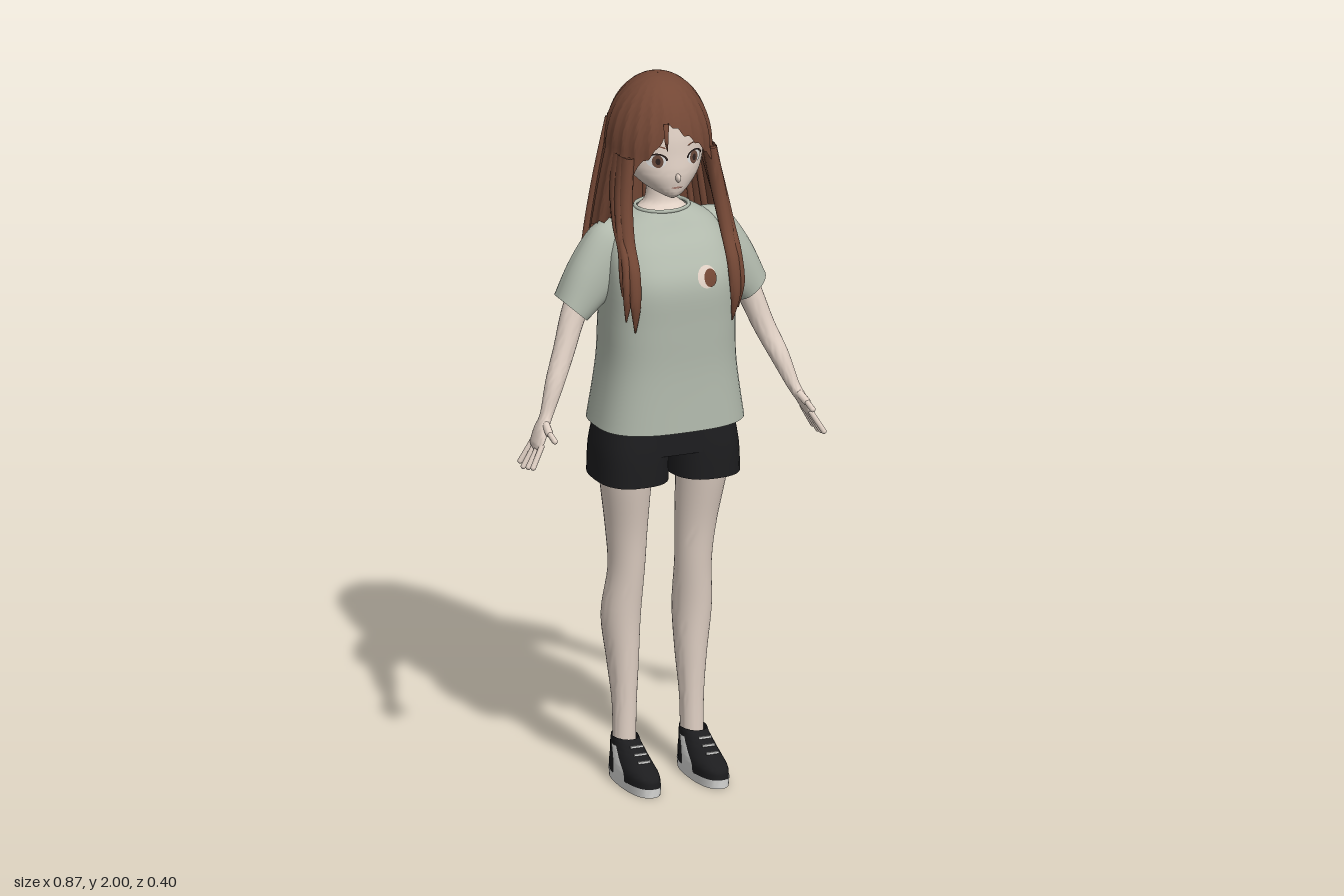
import * as THREE from 'three';
import { toCreasedNormals } from 'three/addons/utils/BufferGeometryUtils.js';

const paint = (name, color) => {
  const m = new THREE.MeshStandardMaterial({ color, side: THREE.DoubleSide });
  m.name = name;
  return m;
};

// Surface from a rule fn(u, v) -> [x, y, z]
function grid(nu, nv, fn) {
  const pos = [], idx = [];
  for (let j = 0; j <= nv; j++) for (let i = 0; i <= nu; i++) pos.push(...fn(i / nu, j / nv));
  for (let j = 0; j < nv; j++) for (let i = 0; i < nu; i++) {
    const p = j * (nu + 1) + i, q = p + nu + 1;
    idx.push(p, q, p + 1, p + 1, q, q + 1);
  }
  const g = new THREE.BufferGeometry();
  g.setAttribute('position', new THREE.Float32BufferAttribute(pos, 3));
  g.setIndex(idx);
  return toCreasedNormals(g, 1);
}

// Cross-sections are [x, y, z, half width, half depth, tilt, roundness], bottom to top
const full = (rows) => rows.map(r => [...r, ...[0, 2].slice(Math.max(0, r.length - 5))]);
function refine(rows, steps) {
  const R = full(rows), out = [], at = i => R[Math.min(R.length - 1, Math.max(0, i))];
  for (let i = 0; i < R.length - 1; i++) for (let s = 0; s < steps; s++) {
    const t = s / steps;
    out.push(R[i].map((b, k) => {
      const a = at(i - 1)[k], c = at(i + 1)[k], d = at(i + 2)[k];
      return b + 0.5 * t * (c - a + t * (2 * a - 5 * b + 4 * c - d + t * (3 * (b - c) + d - a)));
    }));
  }
  out.push(R[R.length - 1]);
  return out;
}
const power = (v, n) => Math.sign(v) * Math.abs(v) ** (2 / n);
function loft(rows, { seg = 32, steps = 5, from = 0, to = Math.PI * 2, grow = 1 } = {}) {
  const R = refine(rows, steps);
  return grid(seg, R.length - 1, (u, v) => {
    const [x, y, z, w, d, tilt, n] = R[Math.round(v * (R.length - 1))];
    const a = from + (to - from) * u, c = w * grow * power(Math.cos(a), n);
    return [x + c * Math.cos(tilt), y + c * Math.sin(tilt), z + d * grow * power(Math.sin(a), n)];
  });
}
// Front depth of a lofted body at x, y
function frontZ(rows, x, y) {
  const R = refine(rows, 8);
  let i = R.findIndex(r => r[1] > y);
  i = i < 1 ? R.length - 1 : i;
  const k = (y - R[i - 1][1]) / (R[i][1] - R[i - 1][1]);
  const [, , z, w, d, , n] = R[i].map((b, j) => R[i - 1][j] + (b - R[i - 1][j]) * k);
  return z + d * Math.max(0, 1 - Math.abs(x / w) ** n) ** (1 / n);
}
const flip = (rows, s) => full(rows).map(r => [r[0] * s, r[1], r[2], r[3], r[4], r[5] * s, r[6]]);

const TORSO = [[0, 1.035, .04, .21, .16, 0, 2.8], [0, 1.2, .045, .186, .15, 0, 2.8], [0, 1.33, .049, .181, .149, 0, 2.8],
  [0, 1.45, .055, .176, .143, 0, 2.8], [0, 1.53, .037, .168, .123, 0, 2.6], [0, 1.585, .02, .146, .098, 0, 2.4],
  [0, 1.615, .017, .108, .08, 0, 2.2], [0, 1.632, .018, .074, .066]];
const HEAD = [[0, 1.673, .09, .004, .006], [0, 1.687, .064, .034, .052], [0, 1.712, .04, .07, .084], [0, 1.75, .02, .101, .109],
  [0, 1.8, 0, .118, .125], [0, 1.86, -.01, .122, .13], [0, 1.92, -.01, .104, .113], [0, 1.965, -.01, .05, .055]];
const SHOE = [[.1, .022, .068, .046, .13, 0, 2.4], [.1, .05, .064, .046, .128, 0, 2.3], [.1, .075, .037, .042, .102],
  [.1, .1, .01, .037, .073], [.1, .12, -.002, .035, .05]];

// Hair length by angle: 0 is the front, +-PI the back
const HAIR_END = [[-3.15, 1.29], [-2, 1.32], [-1.85, 1.56], [-1.1, 1.62], [-.8, 1.77], [-.45, 1.82], [-.17, 1.89],
  [.4, 1.83], [.9, 1.76], [1.1, 1.62], [1.85, 1.56], [2, 1.32], [3.15, 1.29]];
function hairEnd(a) {
  const i = HAIR_END.findIndex(p => p[0] > a), [a0, y0] = HAIR_END[i - 1], [a1, y1] = HAIR_END[i];
  const tooth = Math.abs(((a * 4.2) % 1 + 1) % 1 - .5) * 2;
  return y0 + (y1 - y0) * (a - a0) / (a1 - a0) + (Math.abs(a) > 1.95 ? .055 : .012) * tooth;
}
function hairPoint(a, s, lift = 1) {
  const y = s < Math.PI / 2 ? 1.8 + .2 * Math.cos(s) : 1.8 - .2 * (s - Math.PI / 2);
  const low = Math.max(0, (1.8 - y) / .5), dome = Math.max(.01, Math.sin(Math.min(s, Math.PI / 2)));
  const groove = (1 - .03 * Math.abs(Math.sin(a * 11)) * Math.min(1, s)) * lift;
  const rx = .146 + .085 * low * (1.35 - .45 * low), rz = Math.cos(a) > 0 ? .158 : .162 + .024 * low;
  return [rx * dome * groove * Math.sin(a), y, -.01 + rz * dome * groove * Math.cos(a)];
}

export function createModel() {
  const model = new THREE.Group();
  model.name = 'girl';
  const skin = paint('skin', 0xe2d2c6), hair = paint('hair brown', 0x734735), shirt = paint('shirt sage', 0xb2baad),
    black = paint('shorts black', 0x1d1d1f), white = paint('white trim', 0xdcdcda), dark = paint('dark line', 0x2e2220),
    iris = paint('eye brown', 0x6a4a3c), lip = paint('lip', 0xb08478);
  const add = (name, geo, mat) => {
    const m = new THREE.Mesh(geo, mat);
    m.name = name;
    model.add(m);
    return m;
  };
  // Thin plate that hugs the front of a body
  const decal = (name, mat, body, x, y, w, h, off, a0 = 0, a1 = Math.PI * 2, inner = .01) => {
    const g = new THREE.RingGeometry(inner, 1, 24, 3, a0, a1 - a0), p = g.attributes.position;
    for (let i = 0; i < p.count; i++) {
      const px = x + p.getX(i) * w, py = y + p.getY(i) * h;
      p.setXYZ(i, px, py, frontZ(body, px, py) + off);
    }
    g.computeVertexNormals();
    add(name, g, mat);
  };
  // Rounded finger from one point to another
  const rod = (name, a, b, r) => {
    const A = new THREE.Vector3(...a), B = new THREE.Vector3(...b), d = B.clone().sub(A);
    const m = add(name, new THREE.CapsuleGeometry(r, d.length(), 4, 10), skin);
    m.position.copy(A).add(B).multiplyScalar(.5);
    m.quaternion.setFromUnitVectors(new THREE.Vector3(0, 1, 0), d.normalize());
  };

  // Head, neck and face
  add('head', loft(HEAD, { seg: 48 }), skin);
  add('neck', loft([[0, 1.595, .015, .095, .075], [0, 1.625, .012, .07, .056], [0, 1.655, .008, .042, .042], [0, 1.73, .008, .039, .042]]), skin);
  const nose = add('nose', new THREE.SphereGeometry(1, 12, 8), skin);
  nose.scale.set(.007, .012, .014);
  nose.position.set(0, 1.742, .132);
  decal('mouth', lip, HEAD, 0, 1.713, .016, .003, .003);
  for (const s of [-1, 1]) {
    decal('eyeWhite', white, HEAD, s * .055, 1.79, .024, .018, .002);
    decal('iris', iris, HEAD, s * .053, 1.791, .014, .018, .004);
    decal('pupil', dark, HEAD, s * .053, 1.791, .006, .009, .006);
    decal('eyelash', dark, HEAD, s * .055, 1.792, .028, .022, .006, .1, Math.PI - .1, .8);
    decal('eyebrow', hair, HEAD, s * .055, 1.822, .028, .012, .003, .5, Math.PI - .5, .75);
  }

  // Long hair with fringe
  add('hair', grid(240, 44, (u, v) => {
    const a = (u * 2 - 1) * Math.PI, e = hairEnd(a);
    return hairPoint(a, v * (e > 1.8 ? Math.acos((e - 1.8) / .2) : Math.PI / 2 + (1.8 - e) / .2));
  }), hair);
  // Loose locks laid over the back
  for (const [a, w] of [[2.0, .015], [2.25, .012], [2.6, .014], [2.95, .011], [-2.8, .013], [-2.45, .014], [-2.15, .012], [-1.98, .015]]) {
    const rows = [[3.95, .002], [3.6, .8], [2.8, 1], [2, .9], [1.2, .4]].map(([s, k]) => [...hairPoint(a, s, 1), w * k, w * k * .6]);
    add('backLock', loft(rows, { seg: 10 }), hair);
  }
  // Swept fringe strand at the parting
  add('fringeStrand', loft([[-.034, 1.825, .139, .001, .001], [-.04, 1.86, .146, .006, .004], [-.033, 1.9, .128, .008, .006]], { seg: 8 }), hair);

  // Shirt body and collar
  add('shirt', loft(TORSO, { seg: 48 }), shirt);
  const collar = add('collar', new THREE.TorusGeometry(1, .07, 8, 40), shirt);
  collar.rotation.x = Math.PI / 2;
  collar.scale.set(.074, .066, .08);
  collar.position.set(0, 1.632, .018);
  decal('chestPatch', skin, TORSO, .06, 1.47, .028, .03, .003);
  decal('chestSpot', hair, TORSO, .069, 1.467, .019, .024, .006);

  // Shorts
  add('shortsTop', loft([[0, .955, .027, .198, .125, 0, 2.7], [0, 1.1, .027, .18, .12, 0, 2.7]], { seg: 40 }), black);

  for (const s of [-1, 1]) {
    const side = s > 0 ? 'left' : 'right';
    const part = (name, rows, mat, opt) => add(side + name, loft(flip(rows, s), opt), mat);
    const dz = s > 0 ? .012 : -.012; // the two hands hang slightly differently

    // Hair locks falling in front of the shoulder
    for (const [dx, dy, back, k] of [[-.008, 0, 0, 1], [.014, .03, .012, .9], [.012, .09, .04, 1]])
      part('FrontLock', [[.15, 1.33, .172, .002, .003], [.153, 1.41, .185, .015, .011], [.15, 1.5, .17, .018, .014],
        [.148, 1.58, .125, .019, .018], [.139, 1.68, .087, .02, .026], [.122, 1.8, .06, .018, .036]]
        .map(([x, y, z, w, d], i) => [x + dx * (1 - i / 6), y + dy * (1 - i / 5), z - back, w * k, d * k]), hair, { seg: 12 });

    part('Sleeve', [[.262, 1.365, .005, .053, .062, .74, 2.2], [.2, 1.45, .005, .076, .065, .8, 2.2],
      [.13, 1.525, .005, .088, .062, .9], [.07, 1.55, .005, .06, .05, 1.1]], shirt);
    part('Arm', [[.4, 1.003, .09 + dz, .003, .012, .45], [.394, 1.014, .09 + dz, .01, .036, .45], [.377, 1.05, .083 + dz, .014, .036, .45],
      [.357, 1.088, .073 + dz, .017, .021, .42], [.327, 1.17, .053 + dz / 2, .026, .027, .45], [.294, 1.25, .03, .03, .031, .5],
      [.252, 1.36, .01, .036, .037, .6], [.2, 1.45, .005, .04, .04, .7]], skin, { seg: 24 });
    [.058, .08, .101, .121].forEach((z, i) => rod(side + 'Finger', [s * .39, 1.018, z + dz],
      [s * (.427 - Math.abs(i - 1) * .003), .953 + Math.abs(i - 1) * .006, z + dz + (i - 1) * .007], .0075));
    rod(side + 'Thumb', [s * .366, 1.07, .09 + dz], [s * .372, 1.056, .13 + dz], .011);
    rod(side + 'ThumbTip', [s * .372, 1.056, .13 + dz], [s * .373, 1.046, .172 + dz], .008);

    part('ShortsLeg', [[.105, .875, .027, .1, .128, 0, 2.6], [.102, .96, .027, .099, .127, 0, 2.6], [.095, 1.03, .027, .095, .12, 0, 2.4]], black);
    part('Leg', [[.1, .05, -.01, .032, .034], [.0985, .2, -.01, .033, .036], [.1, .33, -.019, .043, .051], [.104, .46, -.022, .053, .063],
      [.098, .6, .002, .05, .056], [.102, .72, .012, .057, .064], [.112, .88, .03, .071, .081], [.112, .98, .03, .075, .09]], skin);

    // Shoe with pale sole, side panels and laces
    part('Sole', [[.1, 0, .068, .001, .001, 0, 2.4], [.1, 0, .068, .046, .13, 0, 2.4], [.1, .025, .068, .048, .132, 0, 2.4]], white, { seg: 40, steps: 1 });
    part('Shoe', SHOE, black);
    for (const mid of [0, Math.PI])
      part('ShoePanel', SHOE.slice(0, 4), white, { seg: 8, from: mid - .22, to: mid + .22, grow: 1.05 });
    for (let i = 0; i < 3; i++) {
      const lace = add(side + 'Lace', new THREE.BoxGeometry(.036, .006, .006), white);
      lace.position.set(s * .1, .082 + i * .014, .133 - i * .026);
    }
  }
  return model;
}
